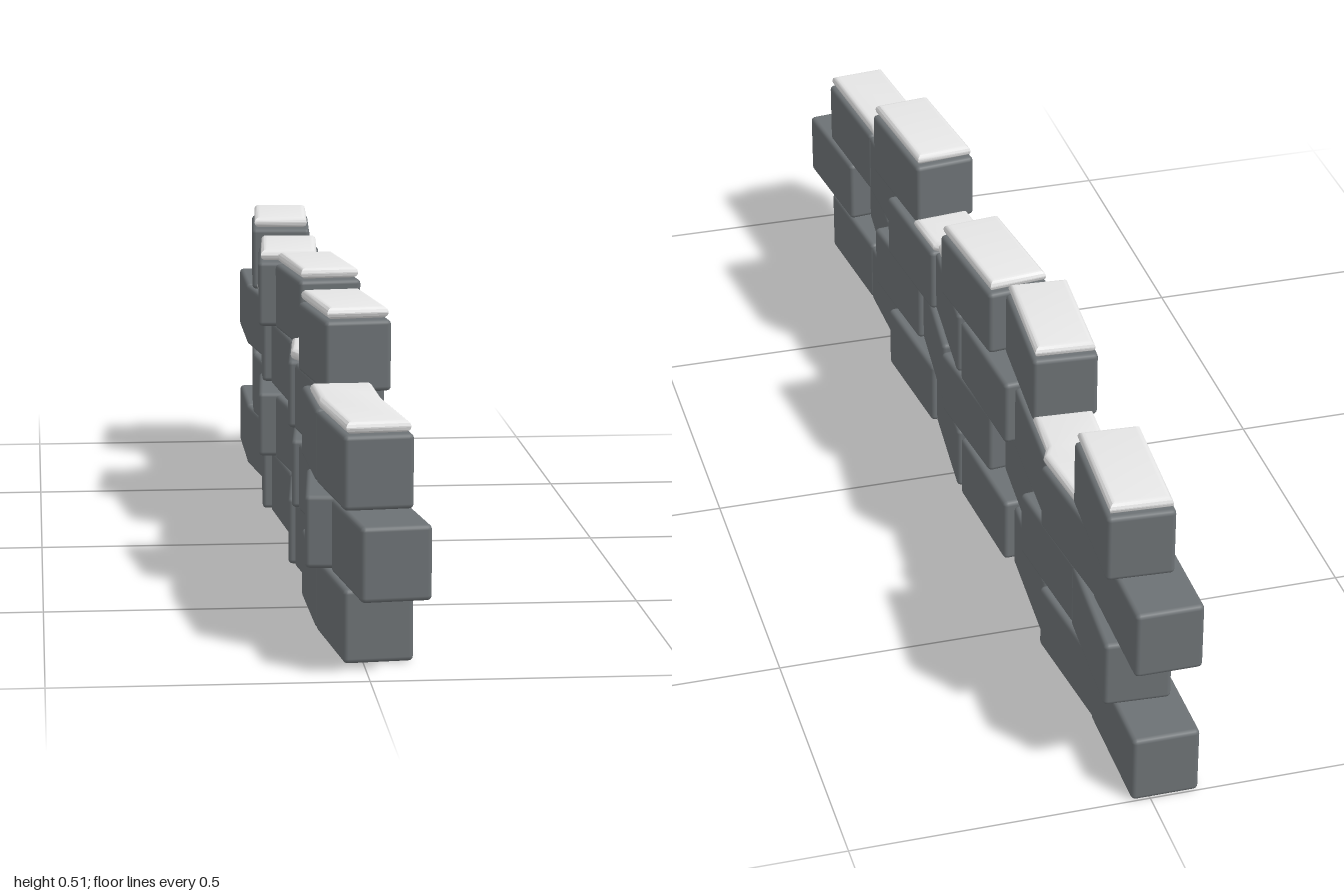
import * as THREE from 'three';
import { RoundedBoxGeometry } from 'three/addons/geometries/RoundedBoxGeometry.js';
import { toCreasedNormals } from 'three/addons/utils/BufferGeometryUtils.js';

const BRICK_H = 0.12, PITCH = 0.1225, WIDTH = 0.113, LENGTH = 0.23;

// Bricks of a course: [x, z, sideways lean per unit of z]
const lowerCourse = [
  [0.012, 0.772, 0.11], [-0.003, 0.537, 0.02], [0.012, 0.3, 0.11], [0.0, 0.064, -0.09],
  [0.0, -0.175, 0.08], [-0.017, -0.42, -0.06], [-0.013, -0.655, 0.12], [-0.025, -0.885, 0],
];
const upperCourse = [
  [0.028, 0.88, 0.12], [-0.015, 0.64, -0.09], [0.012, 0.402, 0.12], [0.0, 0.164, -0.1],
  [0.005, -0.072, 0.12], [-0.03, -0.311, -0.07], [-0.008, -0.55, 0.11], [-0.012, -0.79, -0.06],
];
const merlons = [2, 4, 5, 7].map((i) => upperCourse[i]);

export function createModel() {
  const wall = new THREE.Group();
  wall.name = 'brickWall';
  const stone = new THREE.MeshStandardMaterial({ color: 0x6c7174 });
  stone.name = 'darkStone';
  const pale = new THREE.MeshStandardMaterial({ color: 0xe6e6e6 });
  pale.name = 'paleCap';

  const brickGeo = new RoundedBoxGeometry(WIDTH, BRICK_H, LENGTH, 2, 0.008);

  // Four courses, the last one only merlons
  [lowerCourse, upperCourse, lowerCourse, merlons].forEach((course, row) => {
    const group = new THREE.Group();
    group.name = row < 3 ? `course${row + 1}` : 'merlons';
    for (const [x, z, lean] of course) {
      const brick = new THREE.Mesh(brickGeo, stone);
      brick.name = 'brick';
      brick.position.set(x, 0.002 + row * PITCH + BRICK_H / 2, z);
      brick.rotation.y = Math.atan(lean);
      group.add(brick);
    }
    wall.add(group);
  });

  // Bevelled cap following a centre line of [x, z, lean] stations
  const bevel = 0.011;
  function addCap(name, stations, y) {
    const half = WIDTH / 2 - 0.005 - bevel;
    const side = (s) => stations.map(([x, z, lean]) =>
      new THREE.Vector2(x + s * half, -(z - s * half * lean)));
    const shape = new THREE.Shape([...side(1), ...side(-1).reverse()]);
    const geo = new THREE.ExtrudeGeometry(shape, {
      depth: 0.002, bevelEnabled: true, bevelSize: bevel, bevelThickness: 0.009, bevelSegments: 3,
    });
    geo.rotateX(-Math.PI / 2);
    const cap = new THREE.Mesh(toCreasedNormals(geo, 0.6), pale);
    cap.name = name;
    cap.position.y = y + 0.009;
    wall.add(cap);
  }

  const at = ([x, z, lean], zz) => [x + lean * (zz - z), zz, lean];

  // Caps on the merlons
  const reach = LENGTH / 2 - 0.005 - bevel;
  for (const m of merlons) {
    addCap('merlonCap', [at(m, m[1] - reach), at(m, m[1] + reach)], 0.4915);
  }

  // Bent caps in the gaps, each crossing two bricks: [brick, brick, start z, joint z, end z]
  const gaps = [[1, 0, 0.53, 0.655, 0.871], [3, 2, 0.056, 0.182, 0.272], [6, 5, -0.66, -0.538, -0.442]];
  for (const [a, b, start, joint, end] of gaps) {
    const p = lowerCourse[a], q = lowerCourse[b];
    addCap('gapCap', [at(p, start), at(p, joint - 0.008), at(q, joint + 0.008), at(q, end)], 0.368);
  }
  return wall;
}
